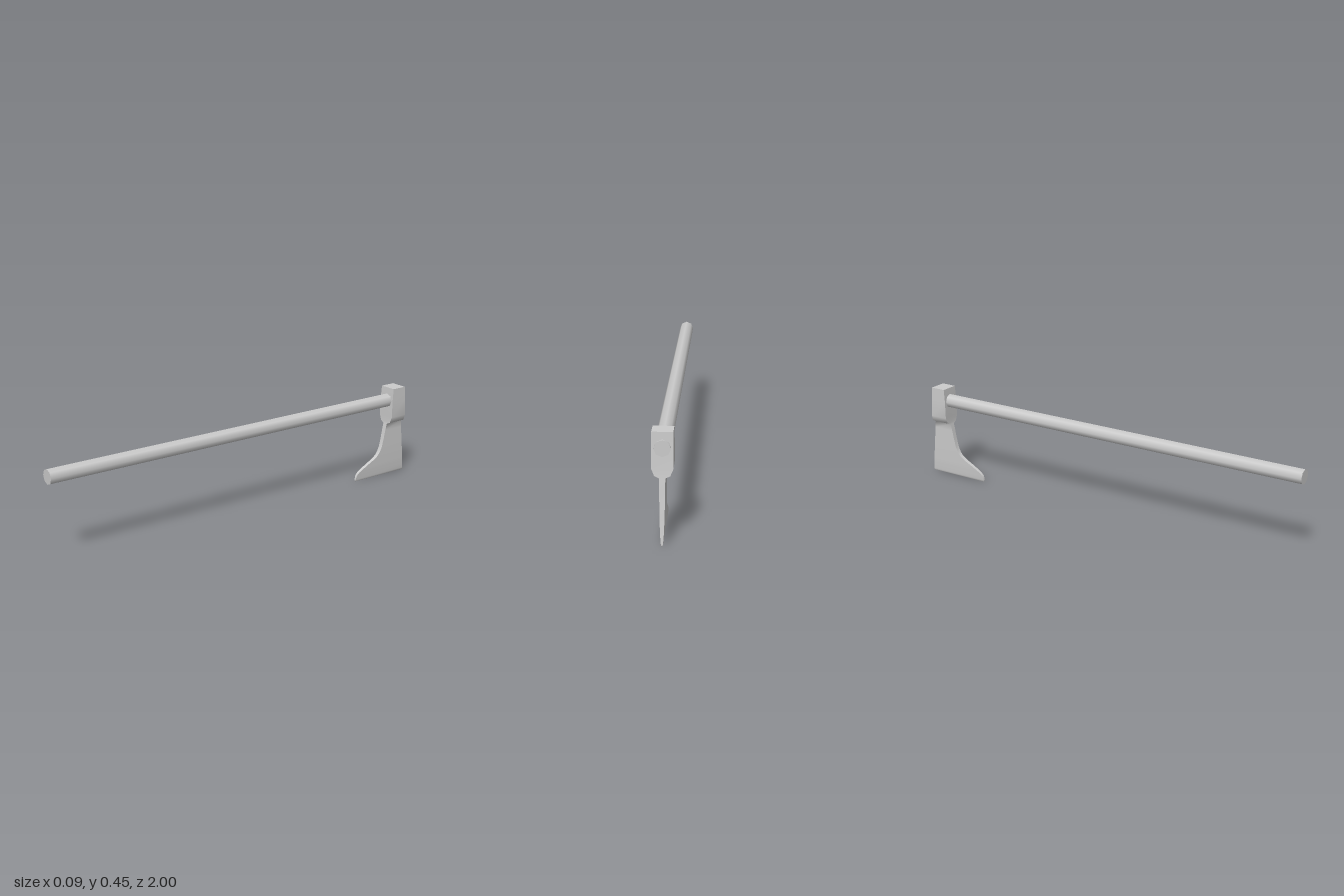
import * as THREE from 'three';

// Cross-sections of the head, top to bottom: height, half thickness, front z, back z
const SECTIONS = [
  [0.45, 0.042, -0.882, -0.957],
  [0.386, 0.043, -0.877, -0.96],
  [0.305, 0.043, -0.876, -0.965],
  [0.276, 0.031, -0.875, -0.968],
  [0.267, 0.012, -0.873, -0.969],
  [0.235, 0.0115, -0.866, -0.973],
  [0.19, 0.011, -0.857, -0.978],
  [0.15, 0.0105, -0.847, -0.983],
  [0.125, 0.01, -0.835, -0.986],
  [0.107, 0.0095, -0.82, -0.988],
  [0.09, 0.009, -0.794, -0.99],
  [0.075, 0.0085, -0.763, -0.992],
  [0.058, 0.008, -0.731, -0.994],
  [0.043, 0.007, -0.704, -0.996],
  [0.03, 0.006, -0.691, -0.998],
  [0.01, 0.0045, -0.685, -1],
  [0.003, 0.003, -0.685, -1],
  [0, 0.001, -0.688, -0.998],
];

// Loft with four separate walls, smooth along their height and sharp at the corners
function loftGeometry(sections) {
  const positions = [];
  const index = [];
  const corners = ([y, w, f, b]) => [[-w, y, f], [w, y, f], [w, y, b], [-w, y, b]];
  for (let side = 0; side < 4; side++) {
    const start = positions.length / 3;
    sections.forEach((section, i) => {
      const c = corners(section);
      positions.push(...c[side], ...c[(side + 1) % 4]);
      if (i === 0) return;
      const a = start + (i - 1) * 2;
      index.push(a, a + 2, a + 1, a + 1, a + 2, a + 3);
    });
  }
  // Flat ends
  const top = positions.length / 3;
  positions.push(...corners(sections[0]).flat());
  index.push(top, top + 1, top + 2, top, top + 2, top + 3);
  positions.push(...corners(sections[sections.length - 1]).flat());
  index.push(top + 4, top + 6, top + 5, top + 4, top + 7, top + 6);

  const geometry = new THREE.BufferGeometry();
  geometry.setAttribute('position', new THREE.Float32BufferAttribute(positions, 3));
  geometry.setIndex(index);
  geometry.computeVertexNormals();
  return geometry;
}

export function createModel() {
  const group = new THREE.Group();
  group.name = 'axe';
  const material = new THREE.MeshStandardMaterial({ color: 0xcccccc });

  // Eight-sided shaft passing through the head
  const handleFront = 1;
  const handleBack = -0.966;
  const shaft = new THREE.CylinderGeometry(0.034, 0.034, handleFront - handleBack, 8);
  shaft.rotateX(Math.PI / 2);
  const handle = new THREE.Mesh(shaft, material);
  handle.name = 'handle';
  handle.position.set(0, 0.386, (handleFront + handleBack) / 2);
  group.add(handle);

  // Socket and bearded blade in one piece
  const head = new THREE.Mesh(loftGeometry(SECTIONS), material);
  head.name = 'axeHead';
  group.add(head);

  return group;
}
